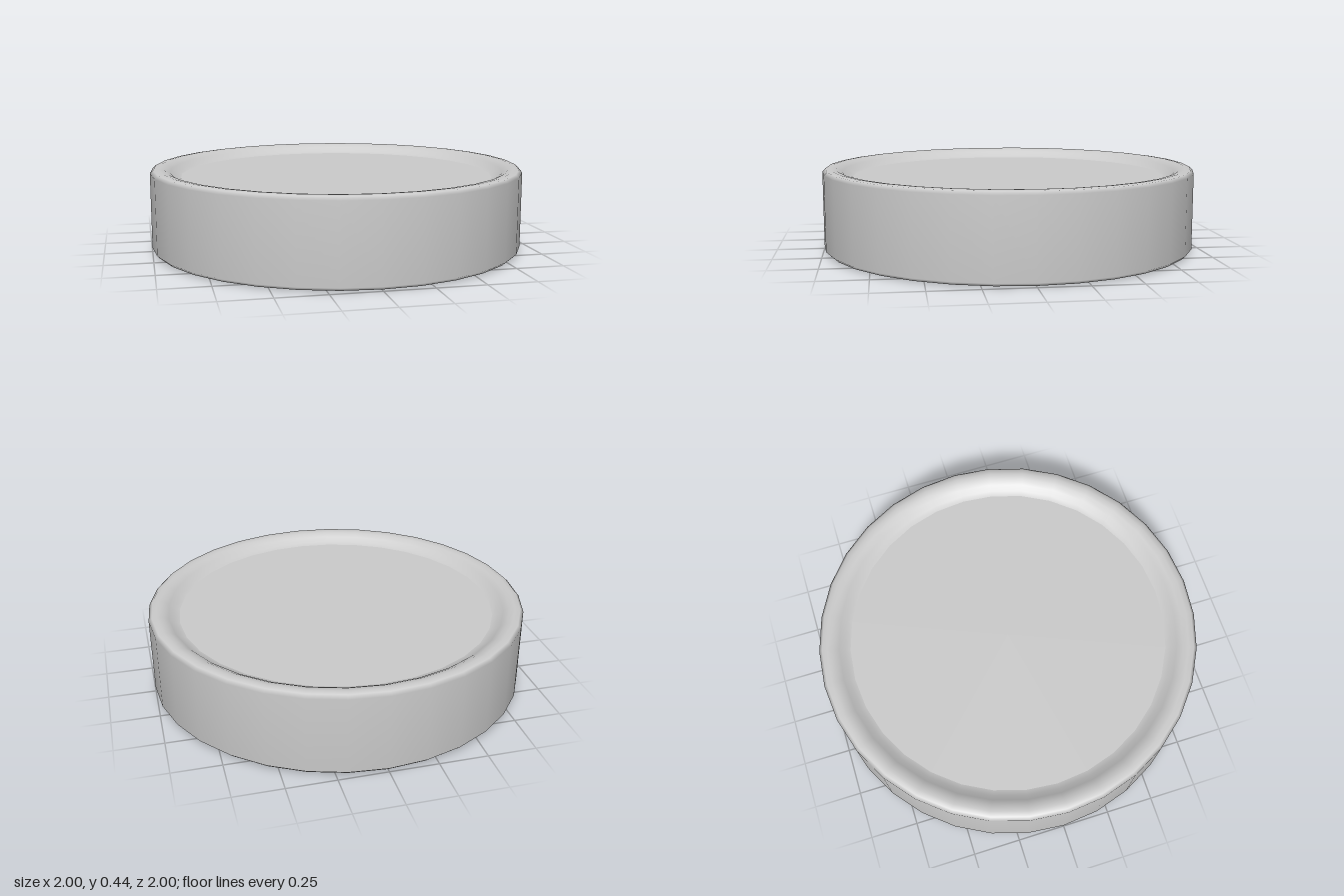
import * as THREE from 'three';

const SIDES = 32;
const HEIGHT = 0.44;
const FACE_RADIUS = 0.84;
const RECESS = 0.05;

export function createModel() {
  const group = new THREE.Group();
  group.name = 'puck';
  const material = new THREE.MeshStandardMaterial({ color: 0xcccccc });

  // Upper half of the rim: [radius, depth below the top], from outside to inside
  const half = [
    [1.0, 0.02], [0.983, 0.004], [0.955, 0], [0.925, 0.004],
    [0.895, 0.02], [0.868, 0.042], [FACE_RADIUS, RECESS],
  ];
  const upper = half.map(([r, d]) => new THREE.Vector2(r, HEIGHT - d));
  const lower = half.map(([r, d]) => new THREE.Vector2(r, d)).reverse();

  // Rounded rim and side wall, the same above and below
  const rim = new THREE.Mesh(new THREE.LatheGeometry([...lower, ...upper], SIDES), material);
  rim.name = 'rim';
  group.add(rim);

  // Flat recessed faces
  const addFace = (name, y, tilt) => {
    const face = new THREE.Mesh(new THREE.CircleGeometry(FACE_RADIUS, SIDES), material);
    face.name = name;
    face.rotation.x = tilt;
    face.position.y = y;
    group.add(face);
  };
  addFace('topFace', HEIGHT - RECESS, -Math.PI / 2);
  addFace('bottomFace', RECESS, Math.PI / 2);

  return group;
}
